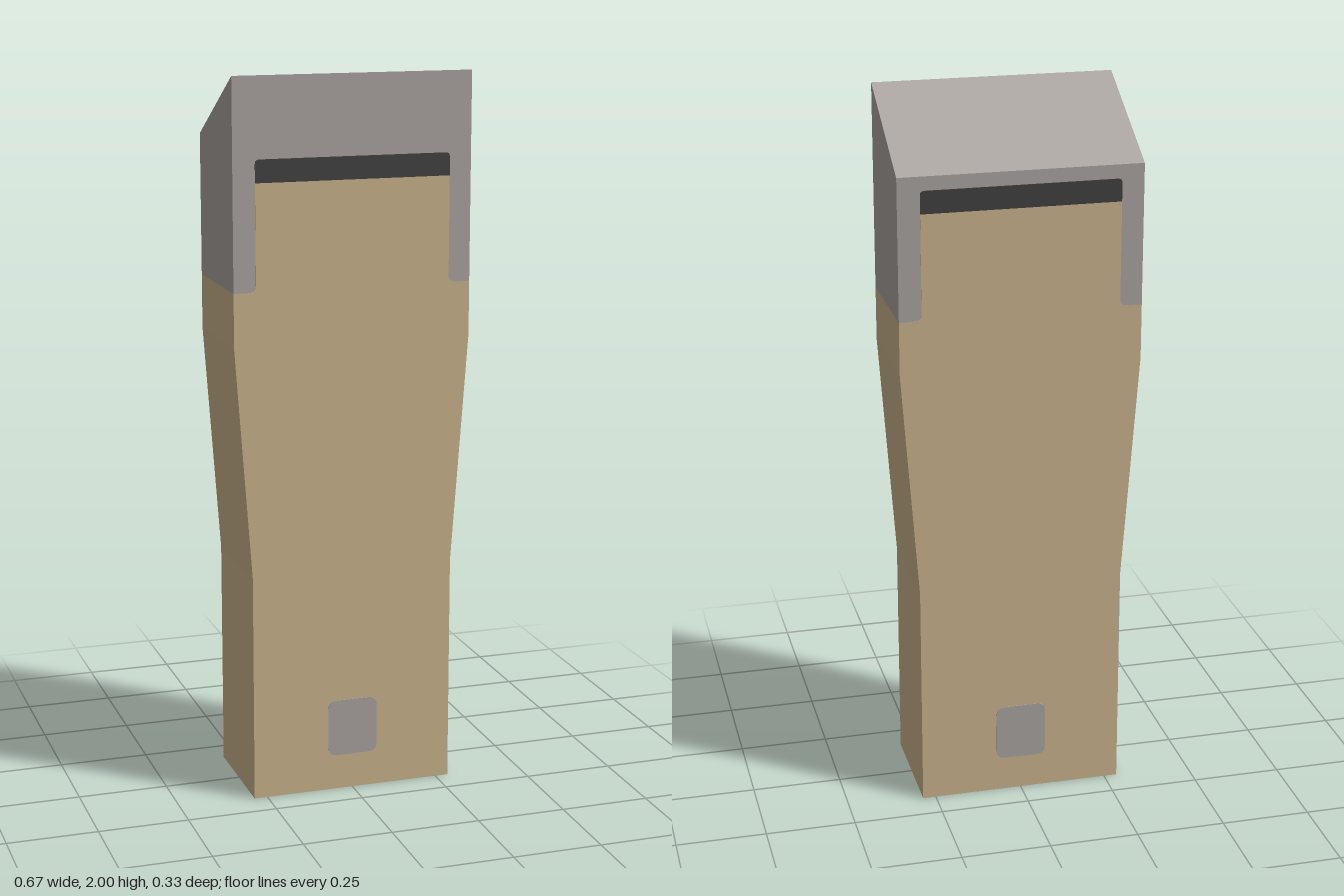
import * as THREE from 'three';

const tan = new THREE.MeshStandardMaterial({ name: 'tan', color: 0xcab38c });
const grey = new THREE.MeshStandardMaterial({ name: 'warmGrey', color: 0xaaa4a0 });
const dark = new THREE.MeshStandardMaterial({ name: 'charcoal', color: 0x404040 });

const DEPTH = 0.163, WIDE = 0.333, NARROW = 0.287, SEAM = 1.43, PANEL = 0.272;

function part(name, shape, depth, material) {
  const geometry = new THREE.ExtrudeGeometry(shape, { depth, bevelEnabled: false, curveSegments: 5 });
  geometry.translate(0, 0, -depth / 2);
  const mesh = new THREE.Mesh(geometry, material);
  mesh.name = name;
  return mesh;
}

const polygon = (points) => new THREE.Shape(points.map(([x, y]) => new THREE.Vector2(x, y)));

// Rectangle with separate corner radii at the bottom and the top
function roundedRect(w, y0, y1, rBottom, rTop) {
  const s = new THREE.Shape();
  s.moveTo(-w + rBottom, y0);
  s.lineTo(w - rBottom, y0);
  if (rBottom) s.quadraticCurveTo(w, y0, w, y0 + rBottom);
  s.lineTo(w, y1 - rTop);
  s.quadraticCurveTo(w, y1, w - rTop, y1);
  s.lineTo(-w + rTop, y1);
  s.quadraticCurveTo(-w, y1, -w, y1 - rTop);
  s.lineTo(-w, y0 + rBottom);
  if (rBottom) s.quadraticCurveTo(-w, y0, -w + rBottom, y0);
  return s;
}

// Panel flaring at its foot, so the metal legs beside it end in rounded corners
function panelShape() {
  const s = new THREE.Shape(), r = 0.02;
  s.moveTo(-PANEL - r, SEAM);
  s.lineTo(PANEL + r, SEAM);
  s.quadraticCurveTo(PANEL, SEAM, PANEL, SEAM + r);
  s.lineTo(PANEL, 1.72);
  s.lineTo(-PANEL, 1.72);
  s.lineTo(-PANEL, SEAM + r);
  s.quadraticCurveTo(-PANEL, SEAM, -PANEL - r, SEAM);
  return s;
}

export function createModel() {
  const group = new THREE.Group();
  group.name = 'taperedBlock';

  // Handle with a narrower lower grip
  group.add(part('handle', polygon([
    [-NARROW, 0], [NARROW, 0], [NARROW, 0.64], [WIDE, 1.28], [WIDE, SEAM],
    [-WIDE, SEAM], [-WIDE, 1.28], [-NARROW, 0.64],
  ]), DEPTH * 2, tan));

  // Cap with a top sloping down to the back, extruded across the width
  const cap = part('cap', polygon([
    [-DEPTH, SEAM], [DEPTH, SEAM], [DEPTH, 1.82], [-DEPTH, 2],
  ]), WIDE * 2, grey);
  cap.rotation.y = Math.PI / 2;
  group.add(cap);

  // Matching inlays on the front and back
  for (const [label, side] of [['front', 1], ['back', -1]]) {
    const inlays = [
      part(label + 'Panel', panelShape(), 0.004, tan),
      part(label + 'Slot', roundedRect(PANEL, 1.72, 1.782, 0, 0.012), 0.004, dark),
      part(label + 'Button', roundedRect(0.071, 0.1, 0.262, 0.025, 0.025), 0.004, grey),
    ];
    for (const inlay of inlays) {
      inlay.position.z = side * DEPTH;
      group.add(inlay);
    }
  }
  return group;
}
